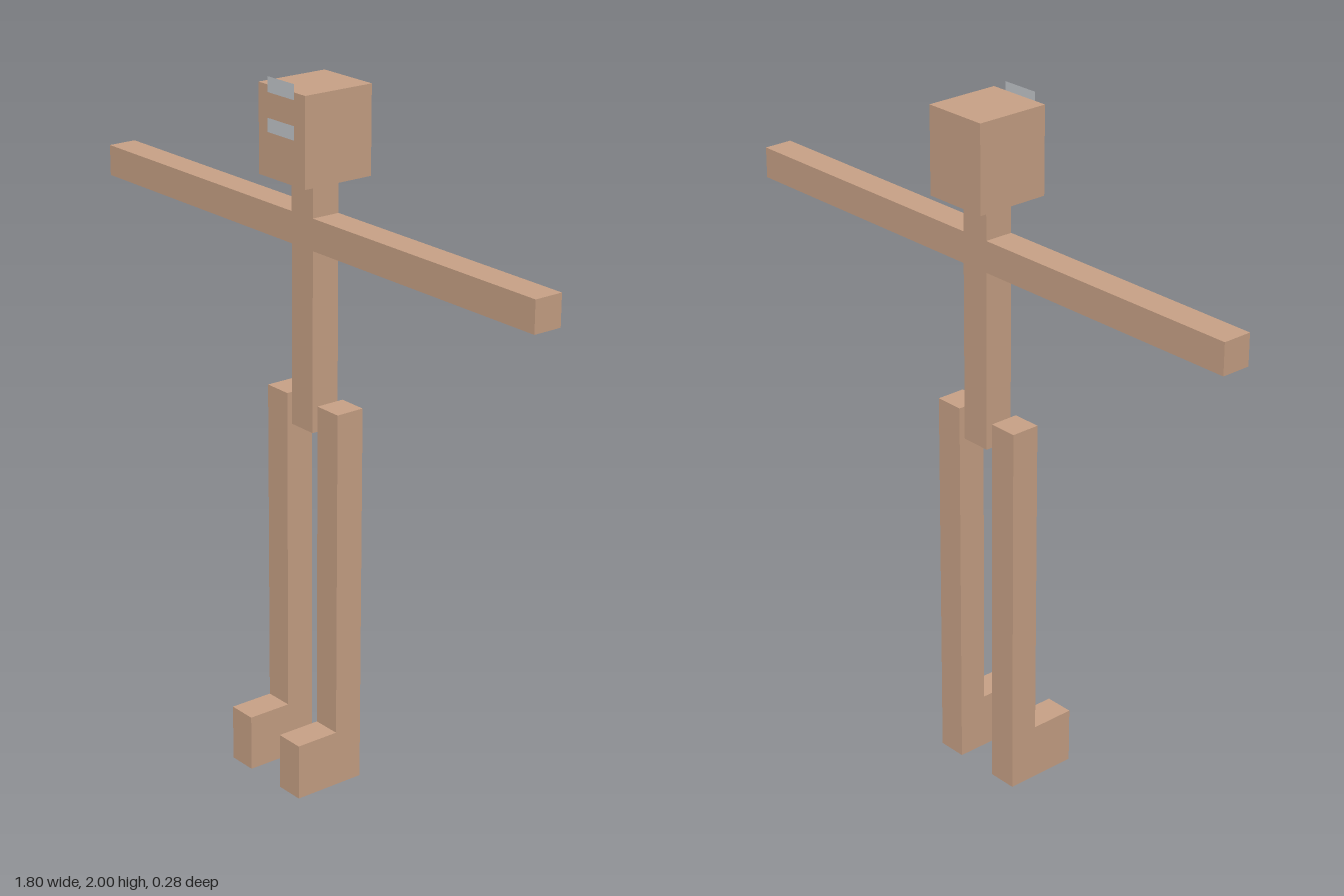
import * as THREE from 'three';

export function createModel() {
  const model = new THREE.Group();
  model.name = 'blockFigure';

  const skin = new THREE.MeshStandardMaterial({ color: 0xcaa387 });
  skin.name = 'skin';
  const grey = new THREE.MeshStandardMaterial({ color: 0xc4c8cc, side: THREE.DoubleSide });
  grey.name = 'lightGrey';

  const add = (name, geometry, material) => {
    const mesh = new THREE.Mesh(geometry, material);
    mesh.name = name;
    model.add(mesh);
    return mesh;
  };

  // Box given by its lower and upper corners
  const box = (name, [x0, y0, z0], [x1, y1, z1]) =>
    add(name, new THREE.BoxGeometry(x1 - x0, y1 - y0, z1 - z0), skin)
      .position.set((x0 + x1) / 2, (y0 + y1) / 2, (z0 + z1) / 2);

  const back = -0.076, front = 0.01;

  box('head', [-0.098, 1.73, -0.142], [0.098, 1.977, 0.077]);
  box('torsoAndNeck', [-0.045, 1.027, back], [0.045, 1.73, front]);
  box('rightArm', [-0.898, 1.54, back], [-0.045, 1.629, front]);
  box('leftArm', [0.045, 1.54, back], [0.898, 1.629, front]);

  // Legs: one L-shaped side profile (z, y) with the foot, extruded across x
  const profile = new THREE.Shape([
    [back, 0], [0.142, 0], [0.142, 0.163], [front, 0.163], [front, 1.11], [back, 1.11],
  ].map(([z, y]) => new THREE.Vector2(-z, y)));
  const legWidth = 0.086;
  const legGeometry = new THREE.ExtrudeGeometry(profile, { depth: legWidth, bevelEnabled: false });
  legGeometry.translate(0, 0, -legWidth / 2).rotateY(Math.PI / 2);
  for (const [name, x] of [['leftLeg', 0.109], ['rightLeg', -0.109]]) {
    add(name, legGeometry, skin).position.x = x;
  }

  // Flat face plates
  for (const [name, y, height] of [['browPlate', 1.979, 0.042], ['facePlate', 1.871, 0.038]]) {
    add(name, new THREE.PlaneGeometry(0.112, height), grey).position.set(0, y, 0.08);
  }

  return model;
}
